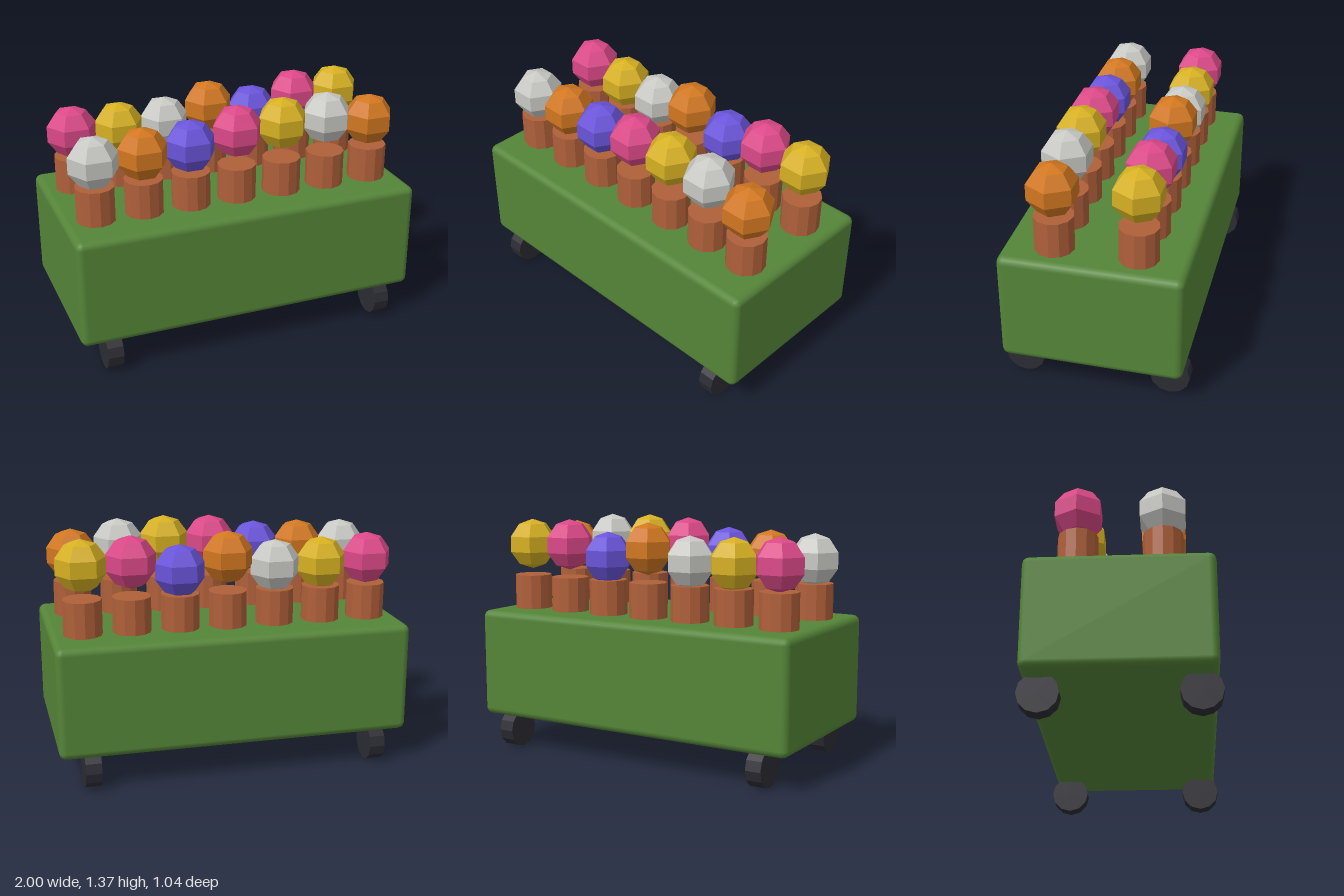
import * as THREE from 'three';
import { RoundedBoxGeometry } from 'three/addons/geometries/RoundedBoxGeometry.js';

export function createModel() {
  const mat = (name, color, flatShading = true) => {
    const m = new THREE.MeshStandardMaterial({ color, flatShading });
    m.name = name;
    return m;
  };
  const green = mat('green', 0x558538, false);
  const terracotta = mat('terracotta', 0xb0603a);
  const black = mat('black', 0x2c2c34);
  const pink = mat('pink', 0xdb4888);
  const yellow = mat('yellow', 0xd6b022);
  const silver = mat('silver', 0xc8c8c4);
  const orange = mat('orange', 0xd17720);
  const purple = mat('purple', 0x6a54da);

  const model = new THREE.Group();
  model.name = 'flowerCart';
  const add = (name, geometry, material, x, y, z) => {
    const mesh = new THREE.Mesh(geometry, material);
    mesh.name = name;
    mesh.position.set(x, y, z);
    model.add(mesh);
    return mesh;
  };

  // Cart body with softened edges
  add('cartBody', new RoundedBoxGeometry(2, 0.63, 1, 2, 0.04), green, 0, 0.505, 0);

  // Four wheels
  const wheel = new THREE.CylinderGeometry(0.11, 0.11, 0.09, 12).rotateZ(Math.PI / 2);
  for (const x of [-0.82, 0.82]) {
    for (const z of [-0.41, 0.41]) {
      add((z > 0 ? 'front' : 'back') + (x > 0 ? 'Left' : 'Right') + 'Wheel', wheel, black, x, 0.11, z);
    }
  }

  // Two rows of pots, each with a faceted bloom: [colour, height of bloom top]
  const radius = 0.148;
  const pot = new THREE.CylinderGeometry(0.109, 0.109, 0.24, 12);
  const bloom = new THREE.SphereGeometry(radius, 6, 5);
  const rows = [
    { name: 'front', z: 0.227, blooms: [[silver, 1.3], [orange, 1.31], [purple, 1.316],
      [pink, 1.363], [yellow, 1.373], [silver, 1.368], [orange, 1.32]] },
    { name: 'back', z: -0.227, blooms: [[pink, 1.31], [yellow, 1.298], [silver, 1.295],
      [orange, 1.357], [purple, 1.295], [pink, 1.358], [yellow, 1.352]] },
  ];
  for (const { name, z, blooms } of rows) {
    blooms.forEach(([material, top], i) => {
      const x = (i - 3) * 0.273;
      add(name + 'Pot', pot, terracotta, x, 0.9, z);
      add(name + 'Bloom', bloom, material, x, top - radius, z);
    });
  }
  return model;
}
